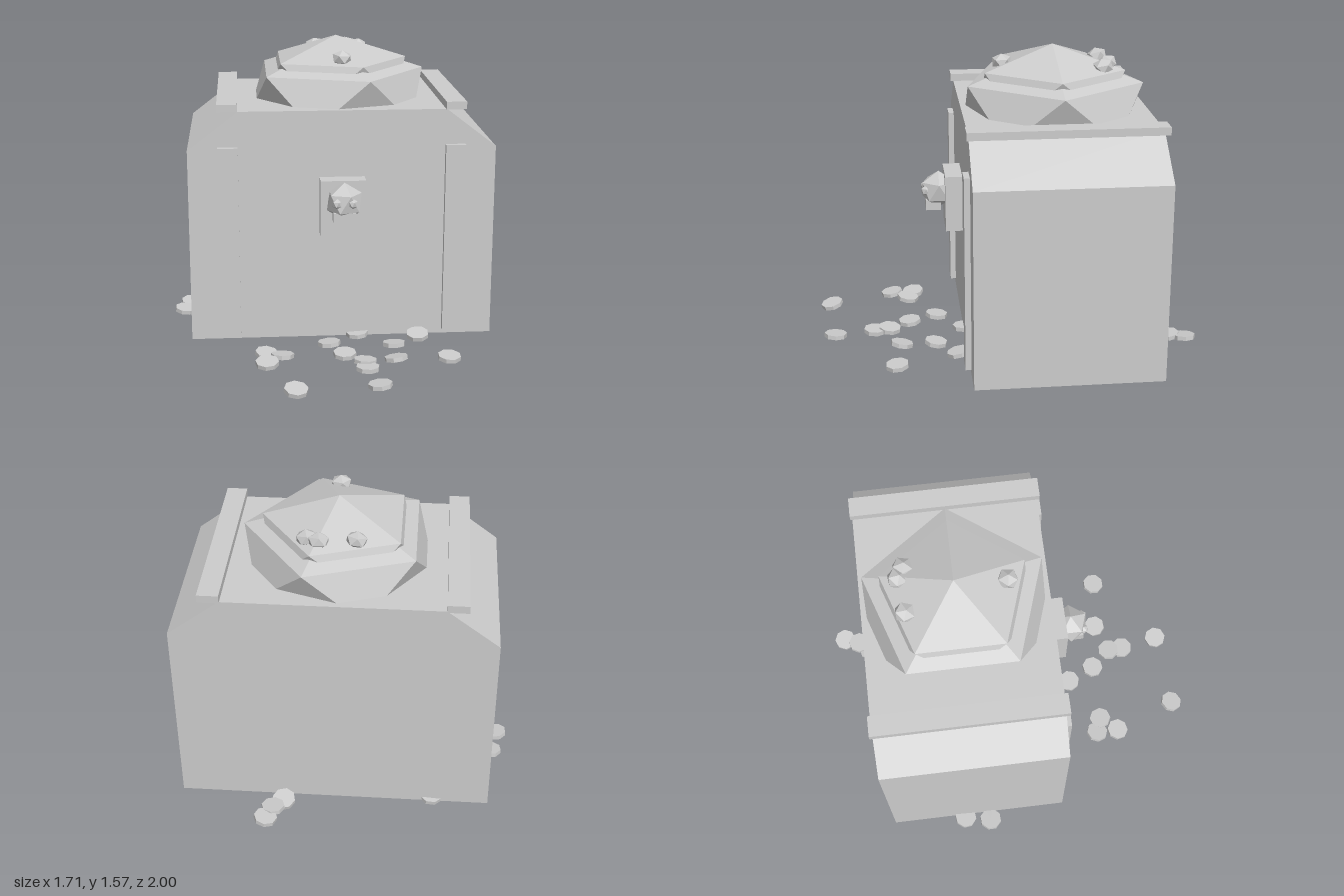
import * as THREE from 'three';

export function createModel() {
  const root = new THREE.Group();
  const stone = new THREE.MeshStandardMaterial({ color: 0xcccccc });
  stone.name = 'pale grey';
  stone.flatShading = true;

  const add = (name, geo, x = 0, y = 0, z = 0) => {
    const m = new THREE.Mesh(geo, stone);
    m.name = name;
    m.position.set(x, y, z);
    root.add(m);
    return m;
  };
  // Box given by its lower and upper corners
  const box = (name, [x0, y0, z0], [x1, y1, z1]) =>
    add(name, new THREE.BoxGeometry(x1 - x0, y1 - y0, z1 - z0),
      (x0 + x1) / 2, (y0 + y1) / 2, (z0 + z1) / 2);
  // Twenty-sided ball standing on a corner, with one upper corner towards +x
  const ball = (name, r, h, x, y, z) => {
    const g = new THREE.IcosahedronGeometry(1, 0);
    g.rotateZ(-Math.atan(2 / (1 + Math.sqrt(5))));
    g.scale(r, h, r);
    return add(name, g, x, y, z);
  };

  // Chest with bevelled shoulders
  const outline = new THREE.Shape([
    [-0.75, 0.02], [0.85, 0.02], [0.85, 1.05], [0.59, 1.25], [-0.49, 1.25], [-0.75, 1.05],
  ].map(p => new THREE.Vector2(...p)));
  add('chestBody', new THREE.ExtrudeGeometry(outline, { depth: 0.96, bevelEnabled: false }), 0, 0, -0.74);

  // Straps on the lid and front
  for (const x of [-0.595, 0.585]) {
    box('lidStrap', [x, 1.25, -0.75], [x + 0.105, 1.29, 0.235]);
    box('frontStrap', [x, 0.05, 0.21], [x + 0.105, 1.065, 0.25]);
  }

  // Lock plate with skull
  box('lockPlate', [-0.07, 0.6, 0.2], [0.165, 0.9, 0.31]);
  ball('skull', 0.1, 0.1, 0.05, 0.8, 0.34);
  box('jaw', [-0.01, 0.7, 0.33], [0.105, 0.755, 0.41]);
  for (const x of [0.008, 0.088]) ball('eye', 0.027, 0.027, x, 0.805, 0.408);

  // Two-tier treasure heap
  ball('heapLower', 0.53, 0.28, 0.05, 1.265, -0.26);
  ball('heapUpper', 0.425, 0.217, 0.05, 1.353, -0.26);

  // Jewels on the heap
  [[-0.05, 1.48, -0.51], [0.13, 1.48, -0.53], [0.19, 1.475, -0.5], [0.063, 1.485, 0.005]]
    .forEach(([x, y, z], i) => {
      ball('jewel', 0.056, 0.042, x, y, z).rotation.set(0.2, i * 1.3 + 0.4, 0.15);
    });

  // Scattered eight-sided coins: x, z, height
  const coins = [
    [0.39, -0.94, 0.04], [0.36, -0.86, 0.04], [0.31, -0.8, 0.035], [-0.77, -0.34, 0.03],
    [-0.8, -0.2, 0.036], [-0.455, -0.71, 0.03], [0.45, 0.27, 0.035], [0.31, 0.38, 0.03],
    [-0.03, 0.36, 0.035], [-0.36, 0.48, 0.035], [-0.28, 0.51, 0.035], [-0.36, 0.6, 0.035],
    [0.04, 0.51, 0.035], [0.3, 0.56, 0.025], [0.57, 0.59, 0.036], [0.135, 0.62, 0.04],
    [0.14, 0.7, 0.035], [-0.23, 0.94, 0.036], [0.18, 0.91, 0.036], [0.13, 0.22, 0.03],
  ];
  const coinShape = new THREE.CylinderGeometry(0.06, 0.06, 0.022, 8);
  coins.forEach(([x, z, y], i) => {
    add('coin', coinShape, x, y, z).rotation
      .set(0.14 * Math.sin(i * 2.3), i * 0.7, 0.14 * Math.cos(i * 1.7));
  });

  return root;
}
